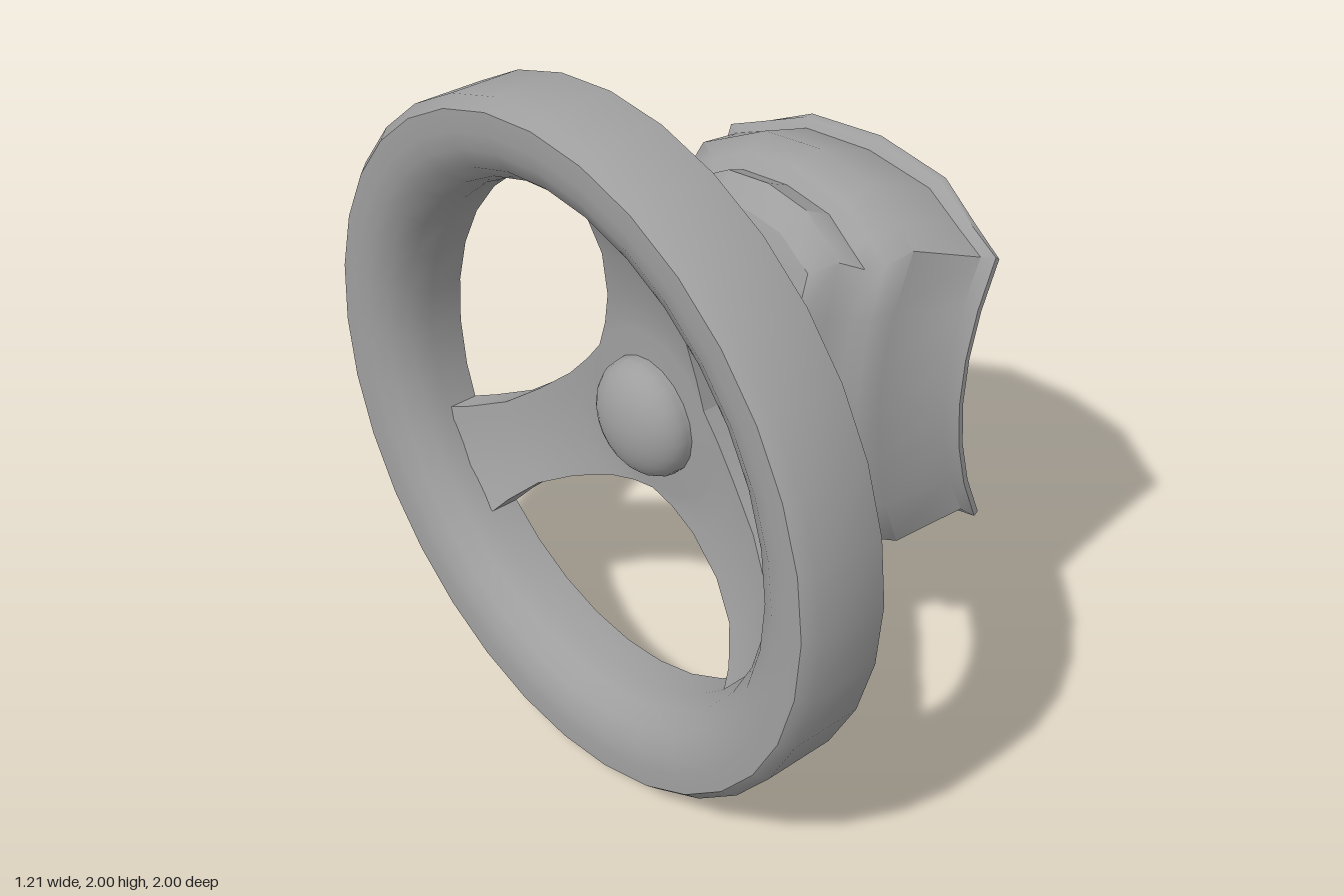
import * as THREE from 'three';
import { toCreasedNormals } from 'three/addons/utils/BufferGeometryUtils.js';

const material = new THREE.MeshStandardMaterial({ color: 0x9e9e9e, side: THREE.DoubleSide });
const rad = THREE.MathUtils.degToRad;

// Skin a row of closed rings, each an array of [x, y, z]
function loft(rings, crease) {
  const n = rings[0].length;
  const index = [];
  for (let i = 0; i < rings.length - 1; i++) {
    for (let j = 0; j < n; j++) {
      const k = (j + 1) % n;
      const a = i * n + j, b = i * n + k, c = a + n, d = b + n;
      index.push(a, b, c, b, d, c);
    }
  }
  const geometry = new THREE.BufferGeometry();
  geometry.setAttribute('position', new THREE.Float32BufferAttribute(rings.flat(2), 3));
  geometry.setIndex(index);
  return toCreasedNormals(geometry, crease);
}

// Revolve [radius, x] points around the x axis
function turned(profile, segments) {
  const geometry = new THREE.LatheGeometry(profile.map(([r, x]) => new THREE.Vector2(r, x)), segments);
  geometry.rotateZ(-Math.PI / 2);
  geometry.deleteAttribute('normal');
  geometry.deleteAttribute('uv');
  return toCreasedNormals(geometry, 0.8);
}

// Flattened half ball bulging along x; direction is 1 or -1
function domeGeometry(radius, height, direction) {
  const geometry = new THREE.SphereGeometry(radius, 20, 8, 0, Math.PI * 2, 0, Math.PI / 2);
  geometry.scale(1, height / radius, 1);
  geometry.rotateZ(-direction * Math.PI / 2);
  return geometry;
}

// One dished spoke with its third of the hub
function spokeGeometry(centre, spanDown, spanUp) {
  // radius, outer x, inner x, share of the sector that is solid
  const rows = [
    [0, -0.12, -0.26, 1], [0.14, -0.12, -0.26, 1], [0.25, -0.14, -0.255, 1],
    [0.28, -0.147, -0.255, 0.7], [0.35, -0.165, -0.265, 0.45], [0.48, -0.2, -0.295, 0.28],
    [0.6, -0.25, -0.345, 0.21], [0.7, -0.315, -0.41, 0.21], [0.74, -0.355, -0.445, 0.22],
    [0.8, -0.4, -0.5, 0.23],
  ];
  const steps = [-1, -0.67, -0.33, 0, 0.33, 0.67, 1];
  const rings = rows.map(([r, outer, inner, share]) => {
    const at = (u, x) => {
      const angle = rad(centre + u * share * (u < 0 ? spanDown : spanUp));
      return [x, 1 + r * Math.sin(angle), r * Math.cos(angle)];
    };
    return [...steps.map(u => at(u, outer)), ...steps.toReversed().map(u => at(u, inner))];
  });
  return loft(rings, 0.7);
}

// Arched-end rectangle, bent towards +x at its top and bottom
function cupRing([x, width, side, top, topX]) {
  const bend = (topX - x) / (top * top);
  const rise = top - side;
  const outline = [];
  for (const s of [1, -1]) {
    for (let i = 0; i < 6; i++) outline.push([s * width, s * side * (1 - i / 3)]);
    outline.push([s * width, -s * side]);
    outline.push([s * width * 0.8, -s * (side + rise * 0.33)]);
    outline.push([s * width * 0.5, -s * (side + rise * 0.83)]);
    outline.push([0, -s * top]);
    outline.push([-s * width * 0.5, -s * (side + rise * 0.83)]);
    outline.push([-s * width * 0.8, -s * (side + rise * 0.33)]);
  }
  return outline.map(([z, y]) => [x + bend * y * y, 1 + y, z]);
}

export function createModel() {
  const group = new THREE.Group();
  const add = (name, geometry) => {
    const mesh = new THREE.Mesh(geometry, material);
    mesh.name = name;
    group.add(mesh);
    return mesh;
  };

  // Rim: flat towards the cup, rounded on the other side
  const rim = add('rim', turned([
    [0.745, -0.36], [0.745, -0.46], [0.765, -0.52], [0.805, -0.57], [0.86, -0.597], [0.91, -0.605],
    [0.97, -0.605], [1, -0.57], [1, -0.36], [0.745, -0.36],
  ], 32));
  rim.position.y = 1;

  // Three spokes meeting in the hub
  for (const [centre, down, up] of [[90, 61.5, 61.5], [-33, 57, 61.5], [213, 61.5, 57]]) {
    add('spoke', spokeGeometry(centre, down, up));
  }

  // Rounded cap on the hub
  add('hubCap', domeGeometry(0.175, 0.11, -1)).position.set(-0.27, 1, 0);
  add('hubCapBase', turned([[0.175, -0.27], [0.175, -0.2]], 20)).position.y = 1;

  // Short shaft with a collar
  add('shaft', turned([
    [0.125, -0.14], [0.125, -0.04], [0.175, -0.04], [0.175, 0.005],
  ], 20)).position.y = 1;

  // Low dome on the floor of the cup
  add('innerDome', domeGeometry(0.175, 0.07, 1)).position.set(0.005, 1, 0);

  // Open stepped cup: x at mid height, half width, side half height, top half height, x at top
  const base = [0, 0.26, 0.43, 0.5, 0.1];
  add('cupFloor', loft([[0, 0, 0.43, 0.5, 0.1], base].map(cupRing), 0.6));
  add('cupWall', loft([
    base,
    [0.07, 0.31, 0.46, 0.56, 0.17],
    [0.125, 0.345, 0.43, 0.53, 0.24],
    [0.145, 0.39, 0.45, 0.57, 0.28],
    [0.2, 0.42, 0.48, 0.6, 0.36],
    [0.385, 0.49, 0.42, 0.53, 0.555],
    [0.405, 0.53, 0.43, 0.555, 0.575],
    [0.42, 0.53, 0.42, 0.56, 0.6],
  ].map(cupRing), 1));

  return group;
}
